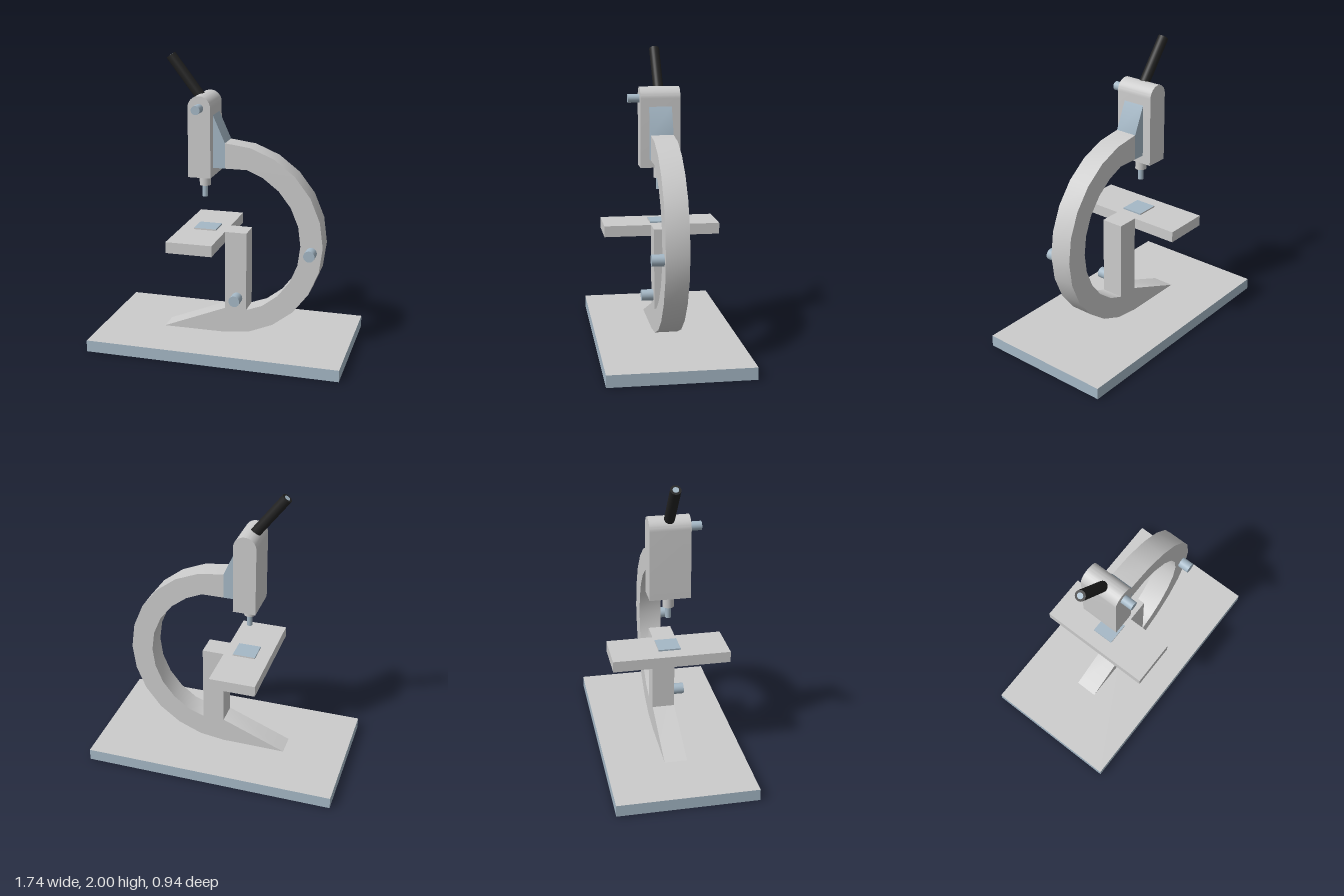
import * as THREE from 'three';
import { toCreasedNormals } from 'three/addons/utils/BufferGeometryUtils.js';

const grey = new THREE.MeshStandardMaterial({ color: 0xcccccc });
const blue = new THREE.MeshStandardMaterial({ color: 0xa5b8c6 });
const black = new THREE.MeshStandardMaterial({ color: 0x222222 });

export function createModel() {
  const model = new THREE.Group();

  const add = (name, geometry, material, x = 0, y = 0, z = 0) => {
    const mesh = new THREE.Mesh(geometry, material);
    mesh.name = name;
    mesh.position.set(x, y, z);
    model.add(mesh);
    return mesh;
  };

  // Box given by its limits in x and y, centred on z = 0
  const slab = (name, x0, x1, y0, y1, depth, material) =>
    add(name, new THREE.BoxGeometry(x1 - x0, y1 - y0, depth), material, (x0 + x1) / 2, (y0 + y1) / 2);

  // Side profile extruded evenly to both sides of z = 0
  const plate = (name, shape, depth, material) => {
    const geometry = new THREE.ExtrudeGeometry(shape, { depth, bevelEnabled: false, curveSegments: 16 });
    geometry.translate(0, 0, -depth / 2);
    return add(name, toCreasedNormals(geometry, 0.5), material);
  };

  const polygon = (points) => new THREE.Shape(points.map(([x, y]) => new THREE.Vector2(x, y)));

  // Knob with its axis along z
  const knob = (name, x, y, z0, z1, radius) => {
    const geometry = new THREE.CylinderGeometry(radius, radius, z1 - z0, 24).rotateX(Math.PI / 2);
    return add(name, geometry, blue, x, y, (z0 + z1) / 2);
  };

  const width = 0.154;

  // Base: coloured rim, grey top and underside
  slab('base', -0.868, 0.868, 0, 0.08, 0.945, [blue, blue, grey, grey, blue, blue]);

  // Curved arm with the sloping foot in one profile
  const centreY = 0.752;
  const arc = (radius, i) => {
    const a = -Math.PI / 2 + (i * Math.PI) / 12;
    return [radius * Math.cos(a), centreY + radius * Math.sin(a)];
  };
  const outline = [[-0.44, 0.08]];
  for (let i = 0; i <= 12; i++) outline.push(arc(0.67, i));
  outline.push([0, 1.25], [0.15, 1.25]);
  for (let i = 10; i >= 2; i--) outline.push(arc(0.52, i));
  outline.push([0.15, 0.26], [0, 0.26]);
  plate('arm', polygon(outline), width, grey);

  // Stage on its post, with the specimen slide
  slab('stagePost', 0, 0.15, 0.255, 0.81, width, grey);
  slab('stage', -0.315, 0, 0.735, 0.81, 0.79, grey);
  slab('slide', -0.22, -0.065, 0.81, 0.82, 0.15, [blue, blue, blue, blue, grey, grey]);

  // Bracket joining arm and head
  plate('headBracket', polygon([[-0.082, 1.25], [0, 1.25], [0, 1.422], [-0.082, 1.605]]), width, blue);

  // Head with a rounded top
  const headX = -0.16, headR = 0.077, headY = 1.66;
  const headShape = new THREE.Shape();
  headShape.moveTo(headX - headR, 1.19);
  headShape.lineTo(headX + headR, 1.19);
  headShape.lineTo(headX + headR, headY);
  headShape.absarc(headX, headY, headR, 0, Math.PI, false);
  headShape.closePath();
  plate('head', headShape, 0.272, grey);

  // Objective lens in two steps
  add('objectiveMount', new THREE.CylinderGeometry(0.038, 0.038, 0.08, 24), grey, headX, 1.15);
  add('objectiveTip', new THREE.CylinderGeometry(0.019, 0.019, 0.08, 24), blue, headX, 1.07);

  // Tilted eyepiece tube with a lens in its end
  const top = new THREE.Vector3(-0.392, 1.979, 0);
  const bottom = new THREE.Vector3(-0.165, 1.683, 0);
  const axis = top.clone().sub(bottom);
  const length = axis.length();
  axis.normalize();
  const eyepiece = new THREE.Group();
  eyepiece.name = 'eyepiece';
  eyepiece.position.copy(bottom);
  eyepiece.quaternion.setFromUnitVectors(new THREE.Vector3(0, 1, 0), axis);
  const tube = new THREE.Mesh(new THREE.CylinderGeometry(0.035, 0.035, length, 24), black);
  tube.name = 'eyepieceTube';
  tube.position.y = length / 2;
  const lens = new THREE.Mesh(new THREE.CylinderGeometry(0.02, 0.02, 0.004, 24), blue);
  lens.name = 'eyepieceLens';
  lens.position.y = length;
  eyepiece.add(tube, lens);
  model.add(eyepiece);

  // Adjustment knobs
  knob('headKnob', headX, 1.657, 0.13, 0.215, 0.03);
  knob('stageKnob', 0.085, 0.344, 0.07, 0.157, 0.038);
  knob('armKnob', 0.594, 0.713, 0.07, 0.157, 0.038);

  return model;
}
